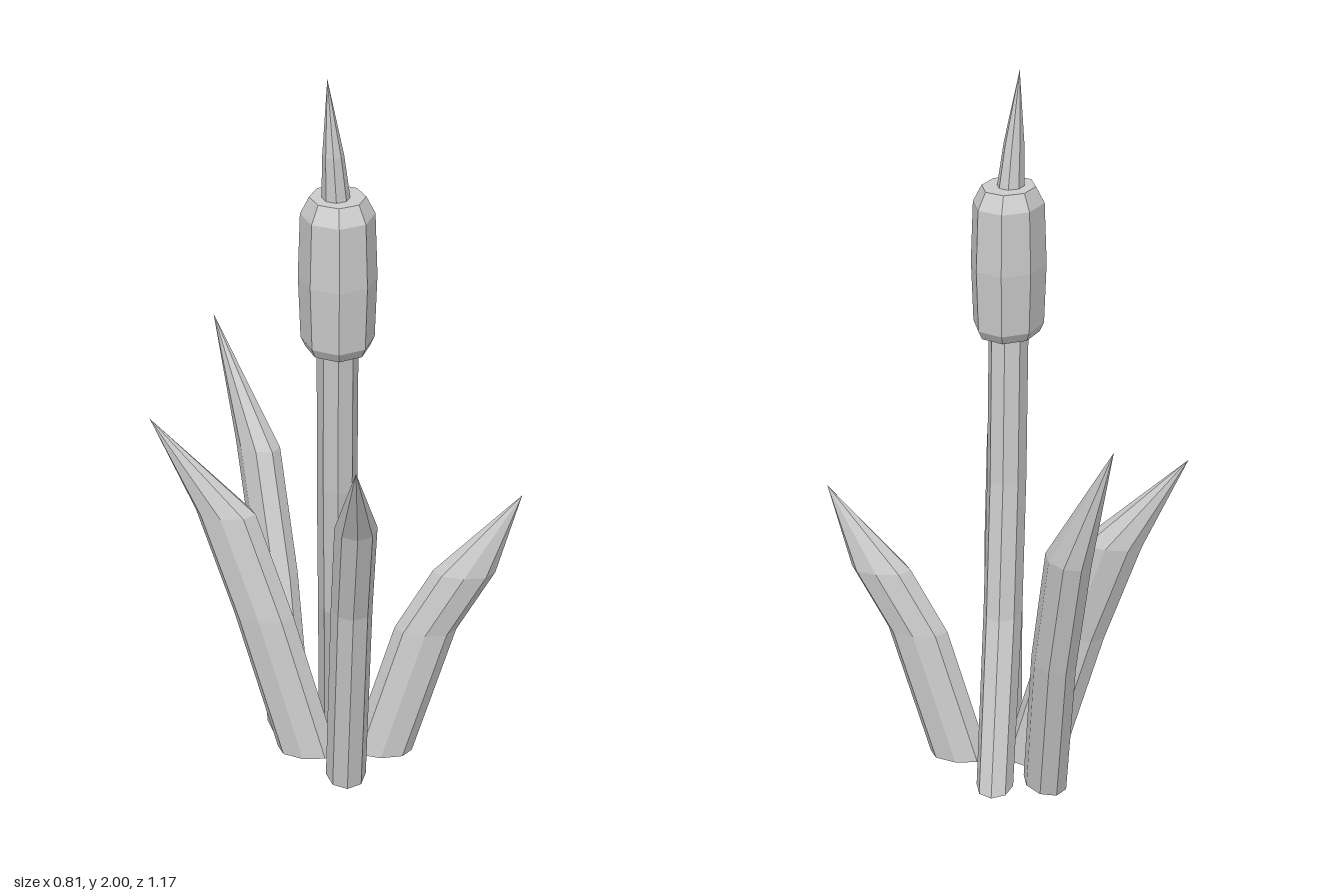
import * as THREE from 'three';

const SIDES = 8;
const LONG = 0.162, SHORT = 0.105; // half axes of the oval section at scale 1

// Lofts an oval octagon through rings [x, y, z, scale]; scale 0 closes to a point.
// The long axis of the section lies along the lean direction (dx, dz).
function loft(name, rings, dx, dz) {
  const len = Math.hypot(dx, dz);
  const ux = dx / len, uz = dz / len;
  const point = ([x, y, z, s], j) => {
    const t = (j / SIDES) * Math.PI * 2;
    const a = Math.cos(t) * LONG * s, b = Math.sin(t) * SHORT * s;
    return [x + ux * a - uz * b, y, z + uz * a + ux * b];
  };
  const pos = [];
  for (let i = 0; i < rings.length - 1; i++) {
    const lo = rings[i], hi = rings[i + 1];
    for (let j = 0; j < SIDES; j++) {
      const a = point(lo, j), b = point(lo, j + 1);
      const c = point(hi, j), d = point(hi, j + 1);
      if (lo[3] > 0) pos.push(...a, ...c, ...b);
      if (hi[3] > 0) pos.push(...b, ...c, ...d);
    }
  }
  const geometry = new THREE.BufferGeometry();
  geometry.setAttribute('position', new THREE.Float32BufferAttribute(pos, 3));
  geometry.computeVertexNormals();
  const material = new THREE.MeshStandardMaterial({ color: 0xcccccc, flatShading: true });
  const mesh = new THREE.Mesh(geometry, material);
  mesh.name = name;
  return mesh;
}

// Leaf: closed base, two bends at full width, then a sharp tip
function leaf(name, [base, bend, shoulder, tip]) {
  const rings = [
    [...base, 0], [...base, 0.54], [...bend, 0.54], [...shoulder, 0.54], [...tip, 0],
  ];
  return loft(name, rings, tip[0] - base[0], tip[2] - base[2]);
}

export function createModel() {
  const group = new THREE.Group();
  group.name = 'reedPlant';
  const lean = [0.515, -0.857];

  // Curved stem
  group.add(loft('stem', [
    [0.078, 0, -0.107, 0], [0.078, 0, -0.107, 0.5],
    [-0.012, 0.47, 0.04, 0.53], [-0.046, 0.86, 0.09, 0.53],
    [-0.067, 1.3, 0.125, 0.53], [-0.067, 1.3, 0.125, 0],
  ], ...lean));

  // Seed head with bevelled ends
  const profile = [[1.275, 0], [1.275, 0.83], [1.3, 0.94], [1.47, 1], [1.64, 0.94], [1.685, 0.71], [1.685, 0]];
  group.add(loft('seedHead', profile.map(([y, s]) => [-0.067, y, 0.125, s]), ...lean));

  // Pointed spike on top of the head
  group.add(loft('spike', [
    [-0.073, 1.67, 0.127, 0], [-0.073, 1.67, 0.127, 0.37],
    [-0.086, 1.8, 0.133, 0.27], [-0.1, 2, 0.127, 0],
  ], ...lean));

  // Four leaves around the stem
  group.add(leaf('frontRightLeaf', [[-0.07, 0, 0.175], [-0.12, 0.58, 0.28], [-0.172, 0.865, 0.38], [-0.307, 1.12, 0.587]]));
  group.add(leaf('backRightLeaf', [[-0.09, 0, 0], [-0.178, 0.42, -0.09], [-0.245, 0.72, -0.18], [-0.405, 0.99, -0.318]]));
  group.add(leaf('backLeaf', [[-0.06, 0, -0.148], [-0.017, 0.45, -0.293], [-0.004, 0.8, -0.408], [-0.043, 1.155, -0.588]]));
  group.add(leaf('frontLeftLeaf', [[0.095, 0, 0.11], [0.195, 0.39, 0.178], [0.28, 0.572, 0.242], [0.403, 0.81, 0.338]]));
  return group;
}
